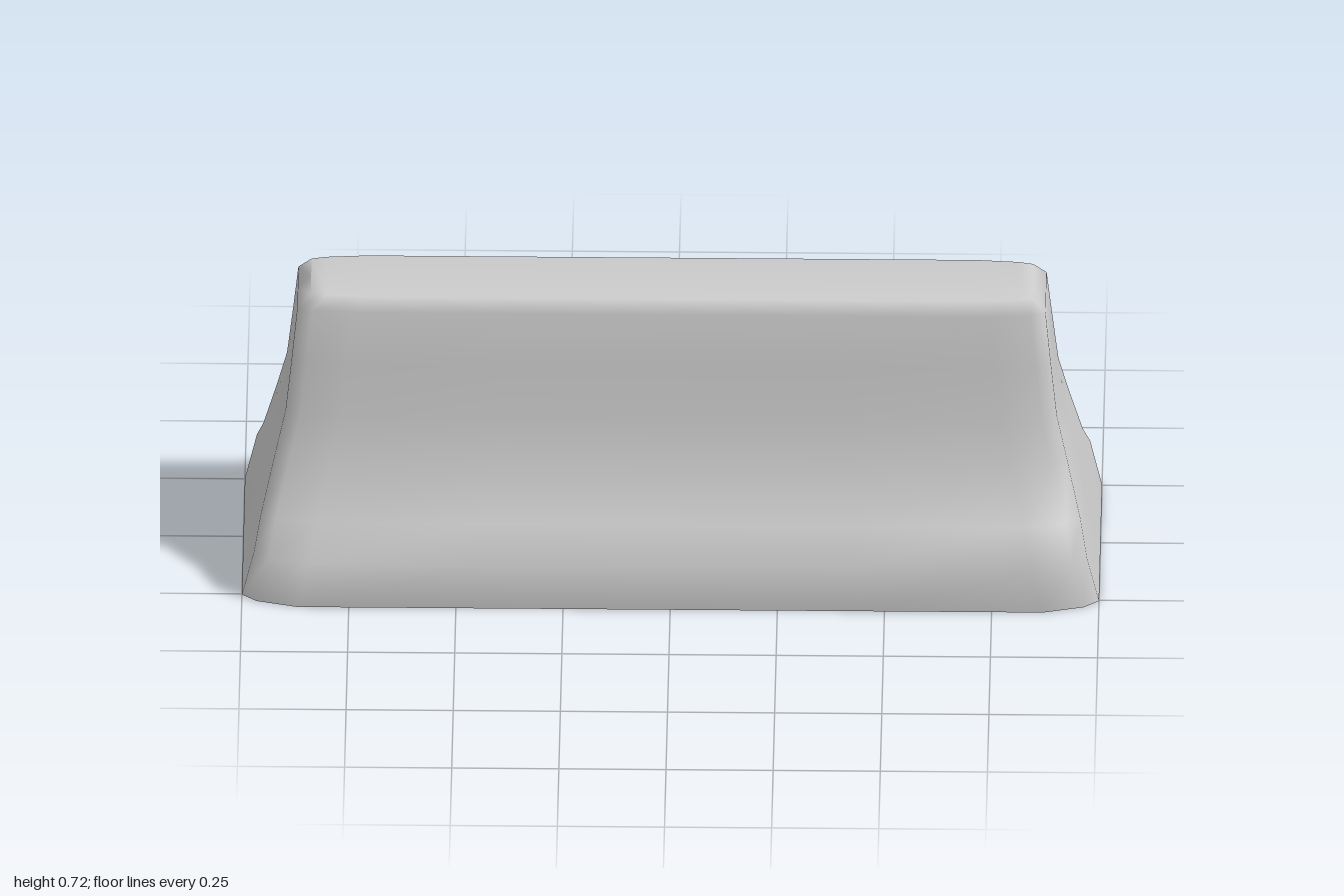
import * as THREE from 'three';

// Horizontal rings from ground to top: [height, half length, half depth]
const RINGS = [
  [0, 1.0, 0.305],
  [0.12, 0.972, 0.308],
  [0.19, 0.956, 0.236],
  [0.33, 0.923, 0.18],
  [0.43, 0.9, 0.152],
  [0.56, 0.886, 0.131],
  [0.69, 0.873, 0.108],
  [0.722, 0.842, 0.09],
];

// One rounded-rectangle ring, running from +x towards +z and around
function ringPoints([y, hx, hz]) {
  const quarter = [
    [hx, 0],
    [hx, hz * 0.83],
    [hx - 0.035, hz * 0.92],
    [hx - 0.13, hz],
    [hx * 0.45, hz],
  ];
  const mirrorX = quarter.slice(1).reverse().map(([x, z]) => [-x, z]);
  const half = [...quarter, [0, hz], ...mirrorX];
  const back = half.map(([x, z]) => [-x, -z]);
  return [...half, ...back].map(([x, z]) => [x, y, z]);
}

// Shell lofted through the rings, closed on top and open underneath
function shellGeometry() {
  const rings = RINGS.map(ringPoints);
  const n = rings[0].length;
  const index = [];
  for (let r = 0; r < rings.length - 1; r++) {
    for (let i = 0; i < n; i++) {
      const a = r * n + i, b = r * n + (i + 1) % n;
      index.push(a, a + n, b, b, a + n, b + n);
    }
  }
  // Top: strips joining the front edge to the back edge
  const top = (rings.length - 1) * n;
  for (let i = 0; i < n / 2; i++) {
    const f0 = top + i, f1 = top + i + 1;
    const b0 = top + (n - i) % n, b1 = top + n - i - 1;
    if (f0 !== b0) index.push(f0, b0, b1);
    if (f1 !== b1) index.push(f0, b1, f1);
  }
  const geometry = new THREE.BufferGeometry();
  geometry.setAttribute('position', new THREE.Float32BufferAttribute(rings.flat(2), 3));
  geometry.setIndex(index);
  geometry.computeVertexNormals();
  return geometry;
}

export function createModel() {
  const group = new THREE.Group();
  group.name = 'roadBarrier';
  const material = new THREE.MeshStandardMaterial({ color: 0xcccccc, side: THREE.DoubleSide });
  const shell = new THREE.Mesh(shellGeometry(), material);
  shell.name = 'barrierShell';
  group.add(shell);
  return group;
}
